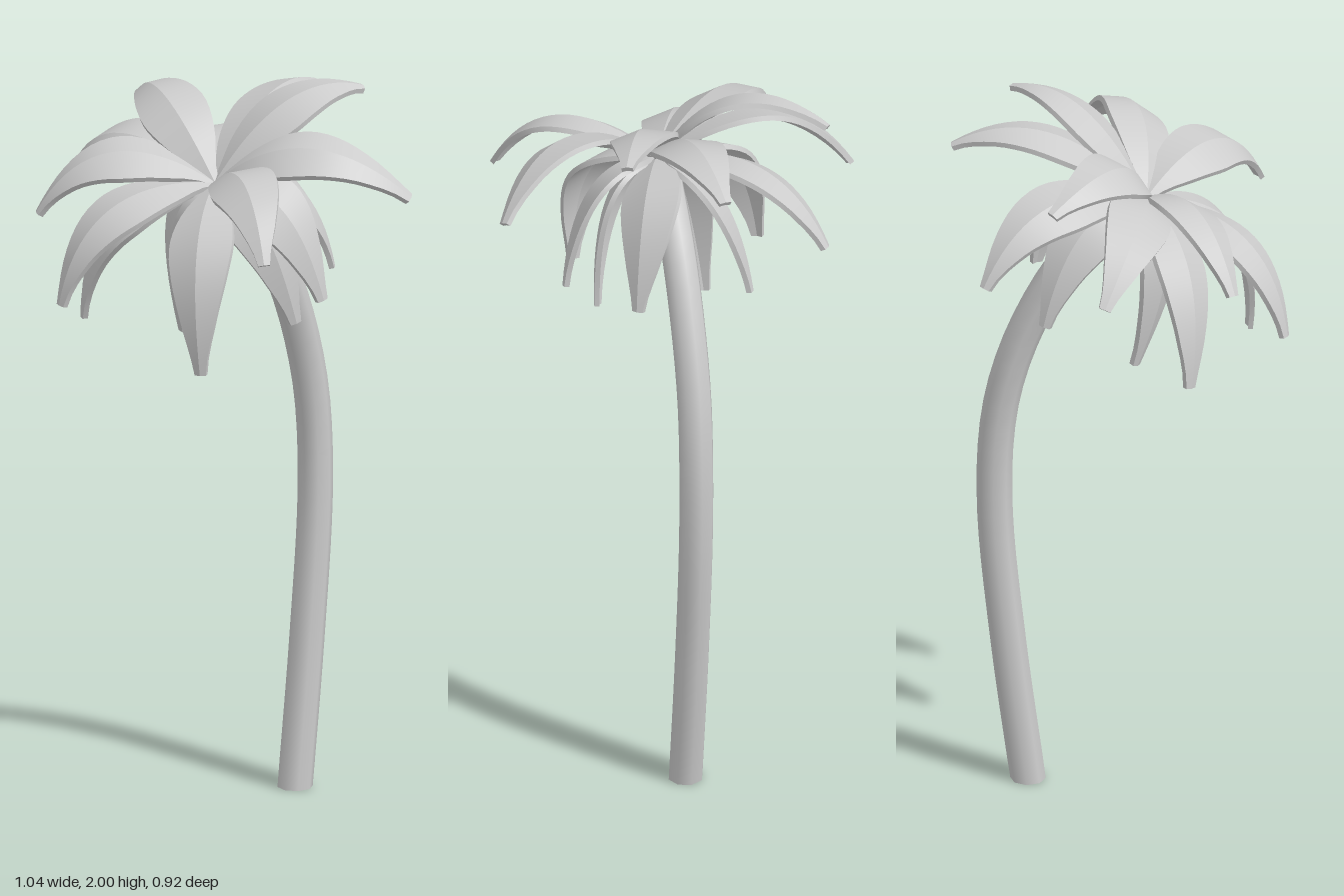
import * as THREE from 'three';
import { toCreasedNormals } from 'three/addons/utils/BufferGeometryUtils.js';

const material = new THREE.MeshStandardMaterial({ color: 0xcccccc });
const crown = new THREE.Vector3(0.01, 1.76, 0.065);
// The crown leans forward with the top of the trunk
const axis = new THREE.Vector3(0, 0.88, 0.47);

// Frond tips: x, y, z and a sideways bend along z
const tips = [
  [0, 1.91, -0.46, 0], [0.23, 1.98, -0.31, 0.02], [0.52, 1.76, -0.13, 0.13], [0.38, 1.66, 0.35, 0],
  [0.16, 1.31, 0.34, 0.07], [-0.22, 1.47, 0.46, 0.03], [-0.39, 1.67, 0.33, 0], [-0.33, 1.36, 0.21, 0.06],
  [-0.52, 1.68, -0.01, 0.1], [-0.4, 1.9, -0.16, 0.1], [-0.33, 1.64, -0.35, 0], [0.18, 1.48, -0.25, 0],
  [-0.17, 1.45, -0.2, 0.03], [-0.12, 1.32, 0.05, 0.15], [0.22, 1.38, -0.02, 0.1], [0.31, 1.46, -0.02, 0.06],
];

// Half width of a frond along its length
const widthCurve = new THREE.SplineCurve([
  [0, 0.012], [0.2, 0.066], [0.45, 0.09], [0.7, 0.079], [0.88, 0.05], [1, 0.016],
].map(([t, w]) => new THREE.Vector2(t, w)));

// Arched leaf, softly folded along its midrib, with a thin rim
function frondGeometry([x, y, z, bend]) {
  const tip = new THREE.Vector3(x, y, z);
  const reach = 0.5 + Math.max(0, 1.9 - y) * 0.72;
  const control = crown.clone().lerp(tip, reach);
  control.y = Math.min(2.06, 1.72 + 0.68 * (y - 1.31));
  control.z += bend;
  const curve = new THREE.QuadraticBezierCurve3(crown, control, tip);

  const steps = 18, thickness = 0.014, positions = [], index = [];
  // Section loop: side factor and layer (0 top, 1 bottom)
  const section = [[-1, 0], [0, 0], [1, 0], [1, 1], [0, 1], [-1, 1]];
  const n = section.length;
  const side = axis.clone().cross(tip.clone().sub(crown)).normalize();
  for (let i = 0; i <= steps; i++) {
    const t = i / steps;
    const p = curve.getPoint(t), tangent = curve.getTangent(t);
    const across = side.clone().addScaledVector(tangent, -side.dot(tangent)).normalize();
    const up = tangent.clone().cross(across).normalize();
    const w = widthCurve.getPoint(t).y;
    for (const [s, layer] of section) {
      const v = p.clone().addScaledVector(across, s * w)
        .addScaledVector(up, -Math.abs(s) * w * 0.24 - layer * thickness);
      positions.push(v.x, v.y, v.z);
    }
  }
  for (let i = 0; i < steps; i++) {
    for (let j = 0; j < n; j++) {
      const a = i * n + j, b = i * n + (j + 1) % n;
      index.push(a, a + n, b, b, a + n, b + n);
    }
  }
  // End caps
  const e = steps * n;
  for (const [a, b, c, d] of [[0, 1, 4, 5], [1, 2, 3, 4]]) {
    index.push(a, b, c, a, c, d, e + a, e + c, e + b, e + a, e + d, e + c);
  }
  const geometry = new THREE.BufferGeometry();
  geometry.setAttribute('position', new THREE.Float32BufferAttribute(positions, 3));
  geometry.setIndex(index);
  return toCreasedNormals(geometry, 0.4);
}

export function createModel() {
  const model = new THREE.Group();
  model.name = 'palmTree';

  // Leaning, curved trunk
  const path = new THREE.CatmullRomCurve3([
    [0.043, 0, -0.256], [0.044, 0.4, -0.308], [0.045, 0.8, -0.345], [0.042, 1.05, -0.338],
    [0.036, 1.22, -0.305], [0.03, 1.4, -0.238], [0.022, 1.58, -0.135], [0.01, 1.74, 0.02],
  ].map(p => new THREE.Vector3(...p)));
  const trunkGeometry = new THREE.TubeGeometry(path, 28, 0.048, 8);
  const pos = trunkGeometry.attributes.position;
  for (let i = 0; i < 9; i++) pos.setY(i, 0);
  const trunk = new THREE.Mesh(trunkGeometry, material);
  trunk.name = 'trunk';
  model.add(trunk);

  // Flat foot of the trunk
  const foot = new THREE.Mesh(new THREE.CircleGeometry(0.048, 8).rotateX(Math.PI / 2), material);
  foot.position.set(0.043, 0, -0.256);
  foot.name = 'trunkBase';
  model.add(foot);

  // Crown of fronds
  const fronds = new THREE.Group();
  fronds.name = 'fronds';
  for (const tip of tips) {
    const frond = new THREE.Mesh(frondGeometry(tip), material);
    frond.name = 'frond';
    fronds.add(frond);
  }
  model.add(fronds);
  return model;
}
